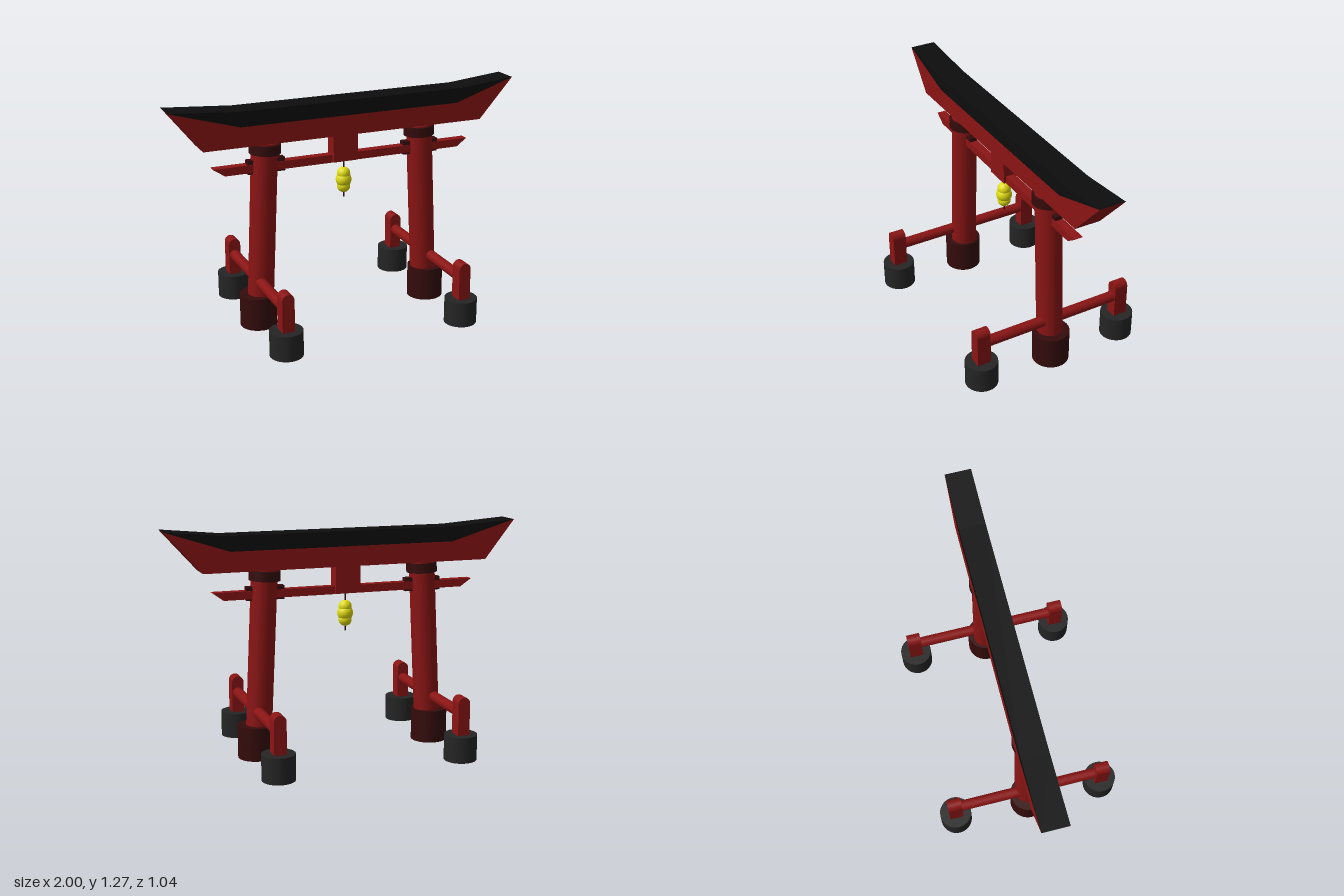
import * as THREE from 'three';

const paint = (color) => new THREE.MeshStandardMaterial({ color });

export function createModel() {
  const red = paint(0x8a1414), darkRed = paint(0x350b0b);
  const charcoal = paint(0x252525), black = paint(0x0d0d0d), yellow = paint(0xe0dc10);
  const model = new THREE.Group();
  model.name = 'shrineGate';

  const add = (name, geometry, material, x = 0, y = 0, z = 0, parent = model) => {
    const mesh = new THREE.Mesh(geometry, material);
    mesh.name = name;
    mesh.position.set(x, y, z);
    parent.add(mesh);
    return mesh;
  };
  // Extrude an x-y outline to a depth centred on z = 0
  const slab = (shape, depth) =>
    new THREE.ExtrudeGeometry(shape, { depth, bevelEnabled: false, curveSegments: 10 }).translate(0, 0, -depth / 2);
  const outline = (points) => new THREE.Shape(points.map(([x, y]) => new THREE.Vector2(x, y)));
  const cylinder = (r, h, n = 32) => new THREE.CylinderGeometry(r, r, h, n);

  // Upswept top beam with its black cap
  add('topBeam', slab(outline([
    [-0.825, 1.05], [0.8, 1.05], [1, 1.275], [0.65, 1.16], [-0.62, 1.16], [-1, 1.27],
  ]), 0.145), red, 0, 0, -0.007);
  add('roofCap', slab(outline([
    [-1, 1.27], [-0.62, 1.16], [0.65, 1.16], [1, 1.275], [0.68, 1.243], [-0.62, 1.243],
  ]), 0.145), black, 0, 0, -0.007);

  // Lower tie beam with slanted ends, and the central tablet
  add('tieBeam', slab(outline([[-0.7, 0.892], [0.68, 0.892], [0.74, 0.936], [-0.765, 0.936]]), 0.05), red);
  add('centreTablet', new THREE.BoxGeometry(0.143, 0.155, 0.08), red, -0.016, 0.973, 0);

  // Hanging bell on a cord
  const bell = new THREE.Group();
  bell.name = 'hangingBell';
  bell.position.x = -0.012;
  model.add(bell);
  add('cord', cylinder(0.004, 0.23, 8), darkRed, 0, 0.795, 0, bell);
  for (const [y, r] of [[0.815, 0.037], [0.78, 0.044], [0.743, 0.037]]) {
    add('bellBead', new THREE.SphereGeometry(r, 24, 16), yellow, 0, y, 0, bell);
  }

  // Support post outline with an arched top
  const postShape = new THREE.Shape();
  postShape.moveTo(-0.034, 0.005);
  postShape.lineTo(0.034, 0.005);
  postShape.lineTo(0.034, 0.331);
  postShape.absarc(0, 0.331, 0.034, 0, Math.PI, false);
  postShape.closePath();

  const sides = [
    { name: 'right', foot: -0.519, head: -0.468, base: -0.527 },
    { name: 'left', foot: 0.499, head: 0.447, base: 0.507 },
  ];
  for (const { name, foot, head, base } of sides) {
    const side = new THREE.Group();
    side.name = name + 'Leg';
    model.add(side);

    // Leaning pillar, collar and base drum
    const lean = Math.atan2(foot - head, 1.045);
    add('pillar', cylinder(0.072, 1.045), red, (foot + head) / 2, 0.527, 0, side).rotation.z = lean;
    add('collar', cylinder(0.086, 0.054), darkRed, head, 1.015, 0, side).rotation.z = lean;
    add('pillarBase', cylinder(0.102, 0.185), darkRed, base, 0.0975, 0, side);

    // Wedge block around the tie beam
    add('wedge', new THREE.BoxGeometry(0.21, 0.075, 0.042), darkRed, head + 0.001, 0.92, 0, side);

    // Cross strut with a small post and drum at front and back
    add('strut', cylinder(0.03, 0.86, 16), red, base, 0.27, 0, side).rotation.x = Math.PI / 2;
    for (const s of [1, -1]) {
      add('supportPost', slab(postShape, 0.078), red, base, 0, s * 0.432, side);
      add('supportBase', cylinder(0.09, 0.143), charcoal, base, 0.0815, s * 0.432, side);
    }
  }
  return model;
}
